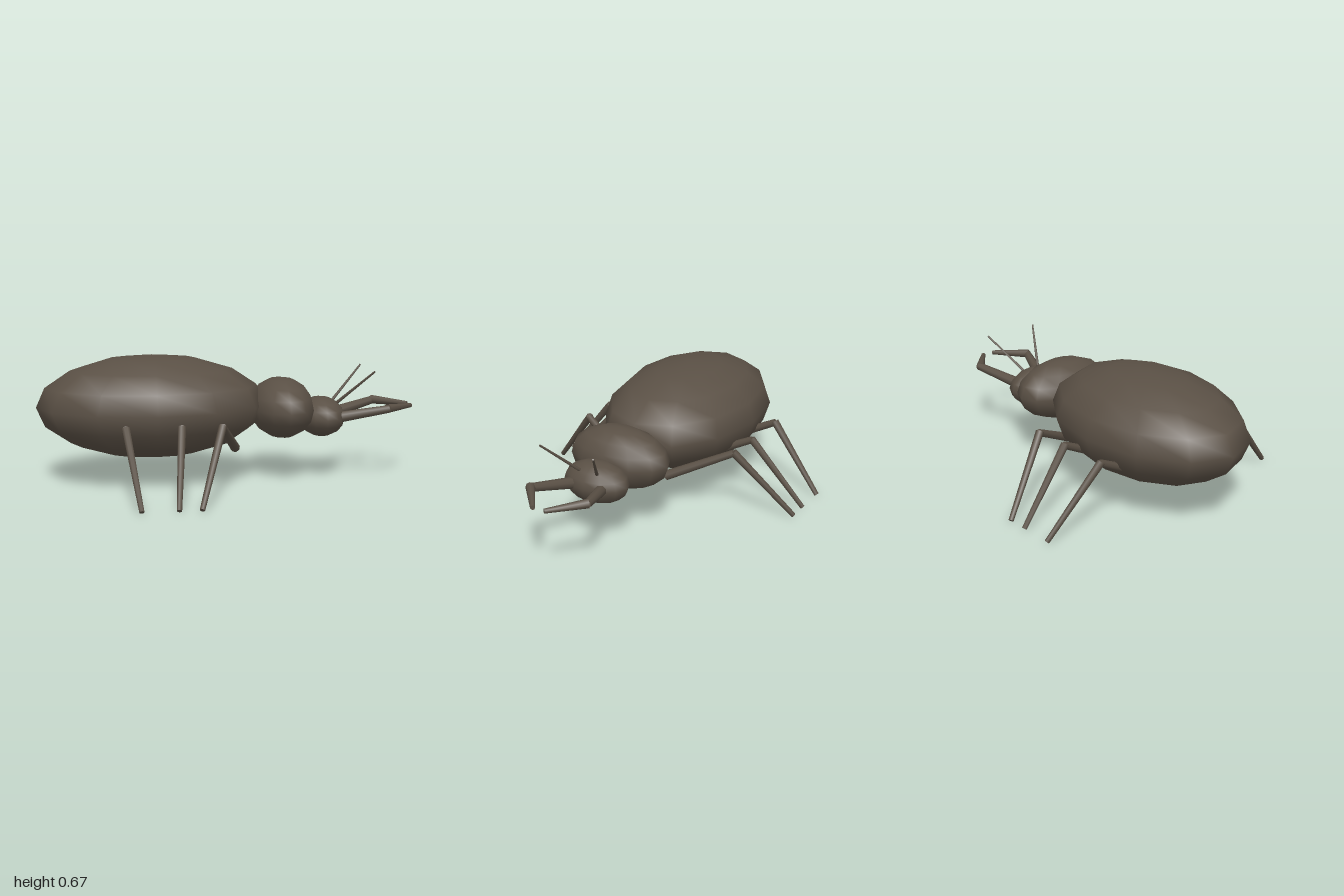
import * as THREE from 'three';

export function createModel() {
  const model = new THREE.Group();
  model.name = 'beetle';
  const shell = new THREE.MeshStandardMaterial({ color: 0x5a5045 });
  shell.name = 'dark brown shell';

  // Low-poly ellipsoid body segment
  function ellipsoid(name, center, radii) {
    const geo = new THREE.SphereGeometry(1, 12, 8);
    geo.scale(...radii);
    const mesh = new THREE.Mesh(geo, shell);
    mesh.name = name;
    mesh.position.set(...center);
    model.add(mesh);
  }

  // Tapered rod from point a to point b
  function rod(name, parent, a, b, ra, rb, sides = 8) {
    const from = new THREE.Vector3(...a);
    const dir = new THREE.Vector3(...b).sub(from);
    const mesh = new THREE.Mesh(new THREE.CylinderGeometry(rb, ra, dir.length(), sides), shell);
    mesh.name = name;
    mesh.position.copy(from).addScaledVector(dir, 0.5);
    mesh.quaternion.setFromUnitVectors(new THREE.Vector3(0, 1, 0), dir.normalize());
    parent.add(mesh);
  }

  // Body
  ellipsoid('abdomen', [-0.4, 0.403, 0], [0.6, 0.268, 0.402]);
  ellipsoid('thorax', [0.29, 0.378, 0], [0.17, 0.16, 0.282]);
  ellipsoid('head', [0.505, 0.325, 0], [0.125, 0.106, 0.18]);

  // Hip, knee and foot x positions for each leg pair
  const legs = [
    ['frontLeg', 0.025, -0.088, -0.228],
    ['middleLeg', -0.25, -0.29, -0.337],
    ['rearLeg', -0.525, -0.565, -0.514],
  ];

  for (const side of [1, -1]) {
    for (const [name, hip, knee, foot] of legs) {
      const leg = new THREE.Group();
      leg.name = name;
      rod('thigh', leg, [hip, 0.187, side * 0.11], [knee, 0.355, side * 0.452], 0.026, 0.019);
      rod('shin', leg, [knee, 0.36, side * 0.448], [foot, 0.012, side * 0.742], 0.021, 0.013);
      model.add(leg);
    }

    // Hooked jaw
    const jaw = new THREE.Group();
    jaw.name = 'mandible';
    rod('jawBase', jaw, [0.57, 0.325, side * 0.075], [0.84, 0.382, side * 0.17], 0.031, 0.021);
    rod('jawTip', jaw, [0.825, 0.382, side * 0.17], [0.99, 0.376, side * 0.033], 0.024, 0.012);
    model.add(jaw);

    // Antenna
    rod('antenna', model, [0.56, 0.383, side * 0.04], [0.758, 0.578, side * 0.155], 0.009, 0.005, 6);
  }
  return model;
}
